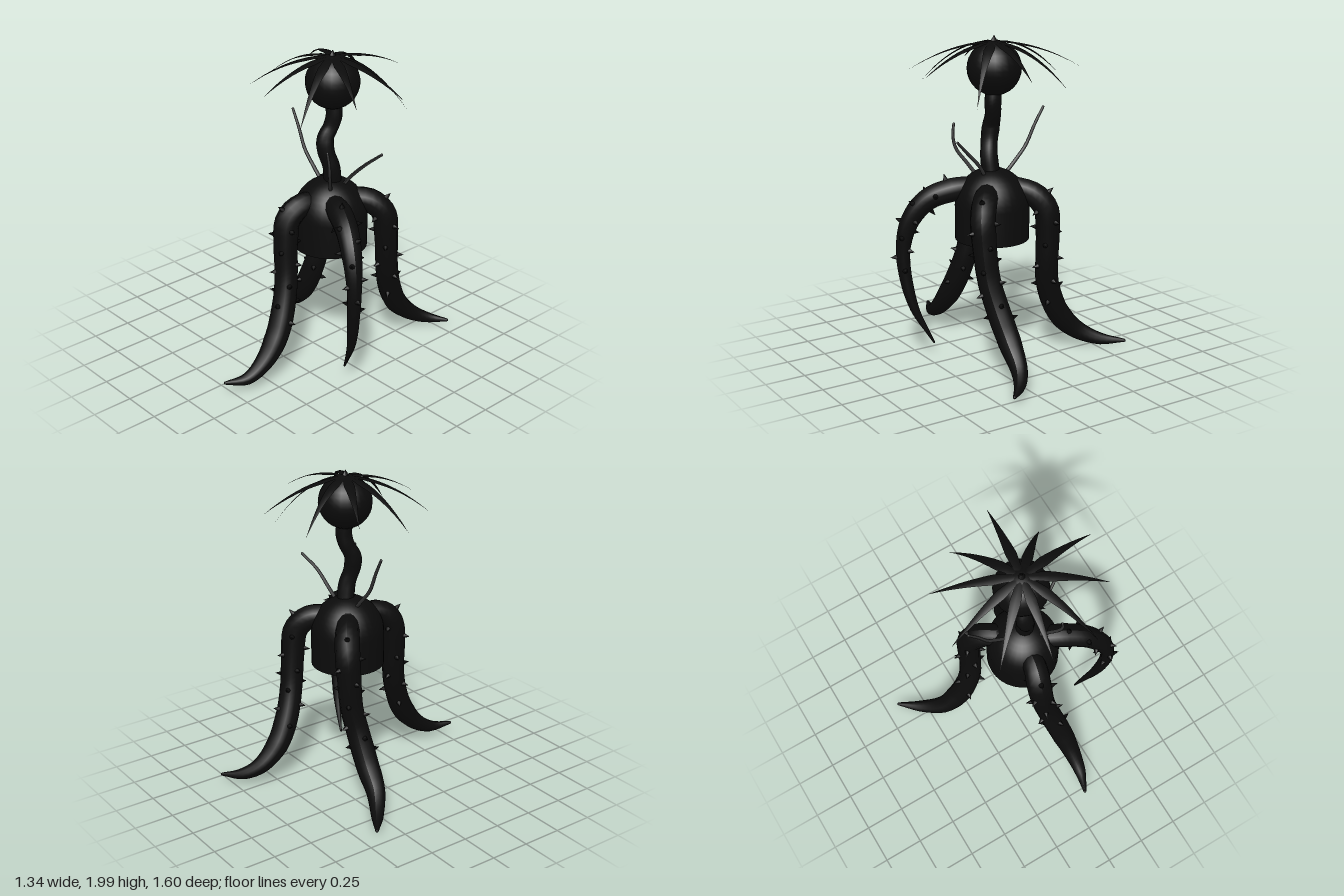
import * as THREE from 'three';

const V = (a) => new THREE.Vector3(...a);
const UP = new THREE.Vector3(0, 1, 0);
const CX = 0.11, CZ = -0.045;

export function createModel() {
  const model = new THREE.Group();
  const black = new THREE.MeshStandardMaterial({ color: 0x0b0b0b });
  const blackThin = new THREE.MeshStandardMaterial({ color: 0x0b0b0b, side: THREE.DoubleSide });
  const grey = new THREE.MeshStandardMaterial({ color: 0x333333 });

  function add(parent, name, geometry, material = black) {
    const mesh = new THREE.Mesh(geometry, material);
    mesh.name = name;
    parent.add(mesh);
    return mesh;
  }

  // Linear lookup of a radius along the tube
  function lerpList(list, t) {
    const f = t * (list.length - 1), i = Math.min(Math.floor(f), list.length - 2);
    return THREE.MathUtils.lerp(list[i], list[i + 1], f - i);
  }

  // Tube whose rings are scaled to follow a list of radii
  function taperedTube(curve, radii, segments, sides) {
    const g = new THREE.TubeGeometry(curve, segments, 1, sides);
    const p = g.attributes.position, v = new THREE.Vector3();
    for (let i = 0; i <= segments; i++) {
      const c = curve.getPointAt(i / segments), r = lerpList(radii, i / segments);
      for (let j = 0; j <= sides; j++) {
        const k = i * (sides + 1) + j;
        v.fromBufferAttribute(p, k).sub(c).multiplyScalar(r).add(c);
        p.setXYZ(k, v.x, v.y, v.z);
      }
    }
    g.computeVertexNormals();
    return g;
  }

  // Body: short cylinder with a domed top and flat underside
  const profile = [new THREE.Vector2(0, 0.76), new THREE.Vector2(0.222, 0.76), new THREE.Vector2(0.226, 0.761)];
  for (let i = 0; i <= 10; i++) {
    const a = (i / 10) * Math.PI / 2;
    profile.push(new THREE.Vector2(0.226 * Math.cos(a), 0.97 + 0.23 * Math.sin(a)));
  }
  add(model, 'body', new THREE.LatheGeometry(profile, 32)).position.set(CX, 0, CZ);

  // Twisting neck and round head
  const neck = new THREE.CatmullRomCurve3([
    [0.12, 1.15, -0.055], [0.125, 1.28, -0.035], [0.105, 1.38, -0.01], [0.095, 1.46, -0.015],
    [0.105, 1.53, -0.05], [0.115, 1.6, -0.065], [0.105, 1.7, -0.06],
  ].map(V));
  add(model, 'neck', taperedTube(neck, [0.054, 0.054, 0.05, 0.054, 0.048, 0.05, 0.048], 32, 12));
  add(model, 'head', new THREE.SphereGeometry(0.163, 24, 16)).position.set(0.103, 1.805, -0.062);
  add(model, 'headSpike', new THREE.ConeGeometry(0.035, 0.06, 8)).position.set(0.103, 1.97, -0.06);

  // Drooping blade: a shallow ridged strip tapering to a point
  function leafGeometry(length, drop) {
    const pos = [], idx = [], n = 10;
    for (let i = 0; i <= n; i++) {
      const t = i / n, y = 1.965 - drop * t * t;
      const w = 0.032 * Math.min(1, 0.55 + t * 1.5) * Math.min(1, (1 - t) * 1.45);
      pos.push(t * length, y - w * 0.25, -w, t * length, y, 0, t * length, y - w * 0.25, w);
      if (i < n) for (const j of [0, 1]) {
        const a = i * 3 + j;
        idx.push(a, a + 1, a + 3, a + 1, a + 4, a + 3);
      }
    }
    const g = new THREE.BufferGeometry();
    g.setAttribute('position', new THREE.Float32BufferAttribute(pos, 3));
    g.setIndex(idx);
    g.computeVertexNormals();
    return g;
  }
  const leafLengths = [0.52, 0.5, 0.51, 0.47, 0.5, 0.51, 0.52, 0.485, 0.526, 0.44];
  const leafDrops = [0.165, 0.16, 0.275, 0.165, 0.2, 0.235, 0.165, 0.245, 0.165, 0.325];
  leafLengths.forEach((length, i) => {
    const leaf = add(model, 'leaf', leafGeometry(length, leafDrops[i]), blackThin);
    leaf.position.set(0.103, 0, -0.06);
    leaf.rotation.y = -THREE.MathUtils.degToRad(-9 + 36 * i);
  });

  // Thin feelers on the shoulders
  [
    [[0.02, 1.15, -0.05], [-0.05, 1.22, -0.05], [-0.13, 1.31, -0.05], [-0.19, 1.43, -0.055], [-0.25, 1.535, -0.06]],
    [[0.18, 1.15, 0.02], [0.22, 1.22, 0.06], [0.27, 1.31, 0.11], [0.28, 1.39, 0.125], [0.27, 1.455, 0.13]],
    [[0.18, 1.16, -0.08], [0.23, 1.23, -0.1], [0.33, 1.33, -0.12], [0.42, 1.41, -0.165]],
  ].forEach((pts) => {
    const curve = new THREE.CatmullRomCurve3(pts.map(V));
    add(model, 'feeler', taperedTube(curve, [0.012, 0.011, 0.01, 0.008], 16, 8), grey);
    add(model, 'feelerTip', new THREE.SphereGeometry(0.008, 8, 6), grey).position.copy(curve.getPoint(1));
  });

  // Thorny tentacle legs
  const thick = [0.066, 0.076, 0.076, 0.072, 0.07, 0.071, 0.073, 0.07, 0.055, 0.037, 0.01];
  const slim = [0.066, 0.074, 0.07, 0.064, 0.054, 0.044, 0.04, 0.036, 0.028, 0.017, 0.006];
  const legs = [
    ['rightLeg', thick, [[0, 1.08, -0.12], [-0.09, 1.04, -0.19], [-0.155, 0.95, -0.235], [-0.17, 0.8, -0.235],
      [-0.175, 0.6, -0.22], [-0.2, 0.45, -0.195], [-0.285, 0.25, -0.185], [-0.4, 0.12, -0.205],
      [-0.53, 0.05, -0.29], [-0.66, 0.04, -0.39]]],
    ['frontLeg', thick, [[0.085, 1.07, 0.08], [0.07, 1.06, 0.17], [0.05, 0.99, 0.245], [0.055, 0.85, 0.27],
      [0.075, 0.65, 0.285], [0.1, 0.5, 0.32], [0.135, 0.3, 0.41], [0.15, 0.16, 0.53],
      [0.14, 0.085, 0.66], [0.095, 0.09, 0.79]]],
    ['backLeg', thick, [[0.2, 1.07, -0.14], [0.27, 1.05, -0.22], [0.325, 0.97, -0.285], [0.33, 0.8, -0.31],
      [0.315, 0.6, -0.335], [0.285, 0.42, -0.39], [0.265, 0.25, -0.48], [0.28, 0.13, -0.6],
      [0.34, 0.075, -0.7], [0.435, 0.06, -0.79]]],
    ['leftLeg', slim, [[0.2, 1.08, 0.02], [0.32, 1.065, 0.07], [0.455, 1.01, 0.135], [0.55, 0.88, 0.185],
      [0.59, 0.71, 0.205], [0.58, 0.52, 0.2], [0.535, 0.31, 0.17], [0.47, 0.17, 0.14], [0.43, 0.09, 0.125]]],
  ];
  const thornGeometry = new THREE.ConeGeometry(0.02, 0.05, 8);
  for (const [name, radii, pts] of legs) {
    const leg = new THREE.Group();
    leg.name = name;
    model.add(leg);
    const curve = new THREE.CatmullRomCurve3(pts.map(V));
    add(leg, 'tentacle', taperedTube(curve, radii, 40, 12));
    add(leg, 'shoulder', new THREE.SphereGeometry(radii[0], 12, 8)).position.copy(curve.getPointAt(0));
    add(leg, 'tip', new THREE.SphereGeometry(radii[10], 8, 6)).position.copy(curve.getPointAt(1));
    // Thorns spiral around the upper part of the leg
    for (let i = 0; i < 16; i++) {
      const t = 0.12 + i * 0.032, a = i * 2.4;
      const tangent = curve.getTangentAt(t);
      const centre = curve.getPointAt(t);
      const outward = new THREE.Vector3(centre.x - CX, 0.3, centre.z - CZ);
      const dir = outward.addScaledVector(tangent, -outward.dot(tangent)).normalize();
      dir.applyAxisAngle(tangent, a);
      const thorn = add(leg, 'thorn', thornGeometry);
      thorn.position.copy(centre).addScaledVector(dir, lerpList(radii, t) + 0.012);
      thorn.quaternion.setFromUnitVectors(UP, dir);
    }
  }
  return model;
}
